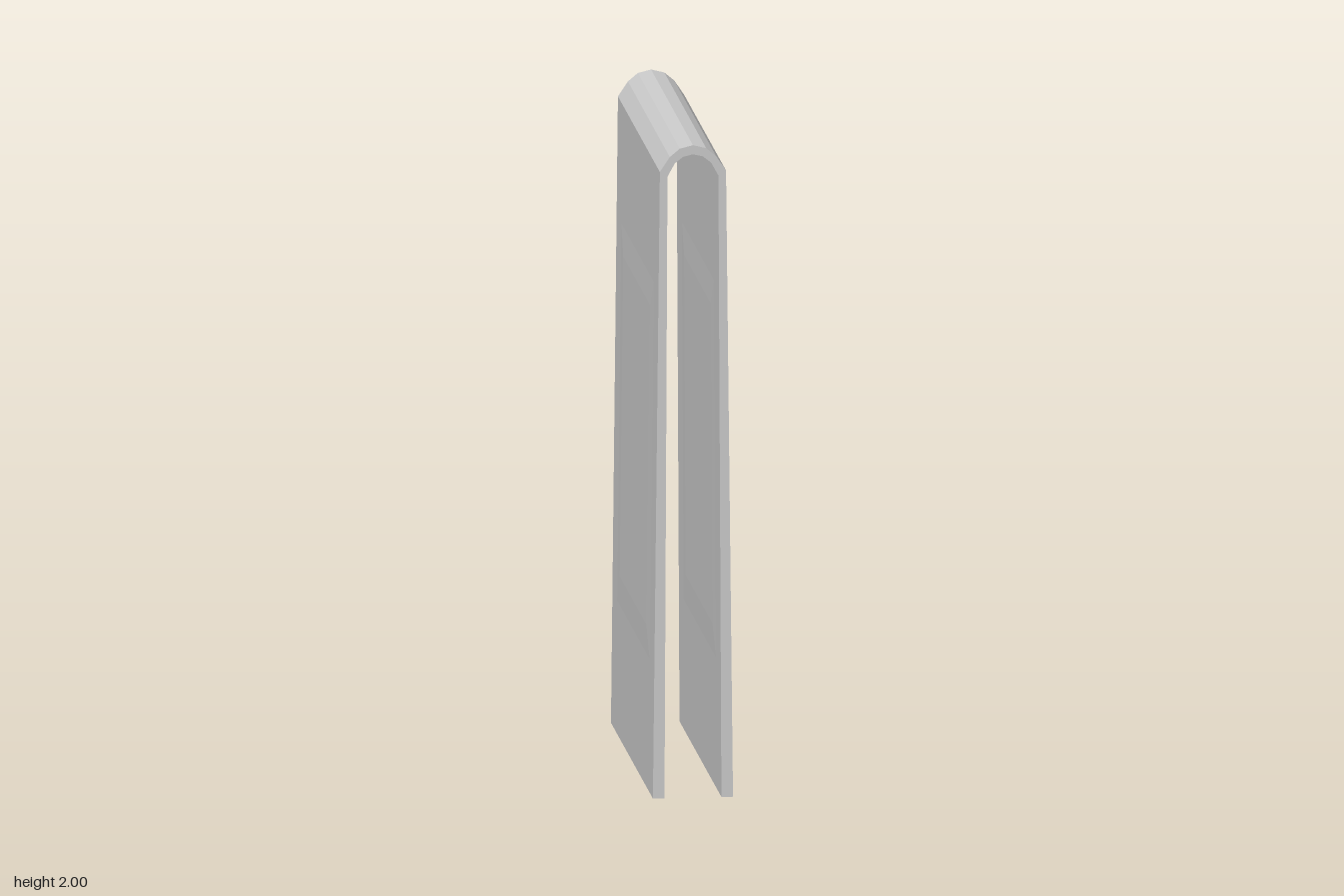
import * as THREE from 'three';

const DEPTH = 1.13;
// Right half of the outer and inner outline, from the foot to the crown
const OUTER = [[0.121, 0], [0.1, 1.92], [0.07, 1.965], [0.04, 1.99], [0, 2]];
const INNER = [[0.086, 0], [0.077, 1.905], [0.055, 1.945], [0.03, 1.965], [0, 1.972]];

const material = new THREE.MeshStandardMaterial({ color: 0xcccccc, flatShading: true });

// Full arch over x, from right foot to left foot
function arch(half) {
  const mirrored = half.slice(0, -1).reverse().map(([x, y]) => [-x, y]);
  return [...half, ...mirrored].map(([x, y]) => new THREE.Vector2(x, y));
}

// Very shallow bevelled panel lying on a leg face; dir is the way it faces along x
function makePanel(profile, side, dir) {
  const geo = new THREE.BoxGeometry(1, 1, 1);
  const pos = geo.attributes.position;
  const [[x0, y0], [x1, y1]] = profile;
  for (let i = 0; i < pos.count; i++) {
    const raised = pos.getX(i) * dir > 0;
    const y = 0.98 + pos.getY(i) * (raised ? 0.98 : 1.2);
    const z = pos.getZ(i) * (raised ? 0.72 : 0.91);
    const surface = side * THREE.MathUtils.mapLinear(y, y0, y1, x0, x1);
    pos.setXYZ(i, surface + dir * (raised ? 0.002 : -0.0005), y, z);
  }
  geo.computeVertexNormals();
  return new THREE.Mesh(geo, material);
}

export function createModel() {
  const group = new THREE.Group();
  group.name = 'foldedClip';

  // Bent strip: two slightly splayed legs joined by a rounded fold
  const shape = new THREE.Shape([...arch(OUTER), ...arch(INNER).reverse()]);
  const geo = new THREE.ExtrudeGeometry(shape, { depth: DEPTH, bevelEnabled: false });
  geo.translate(0, 0, -DEPTH / 2);
  const strip = new THREE.Mesh(geo, material);
  strip.name = 'bentStrip';
  group.add(strip);

  // Faint panels on the outside and inside of both legs
  for (const side of [1, -1]) {
    const outer = makePanel(OUTER, side, side);
    const inner = makePanel(INNER, side, -side);
    outer.name = side > 0 ? 'leftOuterPanel' : 'rightOuterPanel';
    inner.name = side > 0 ? 'leftInnerPanel' : 'rightInnerPanel';
    group.add(outer, inner);
  }
  return group;
}
